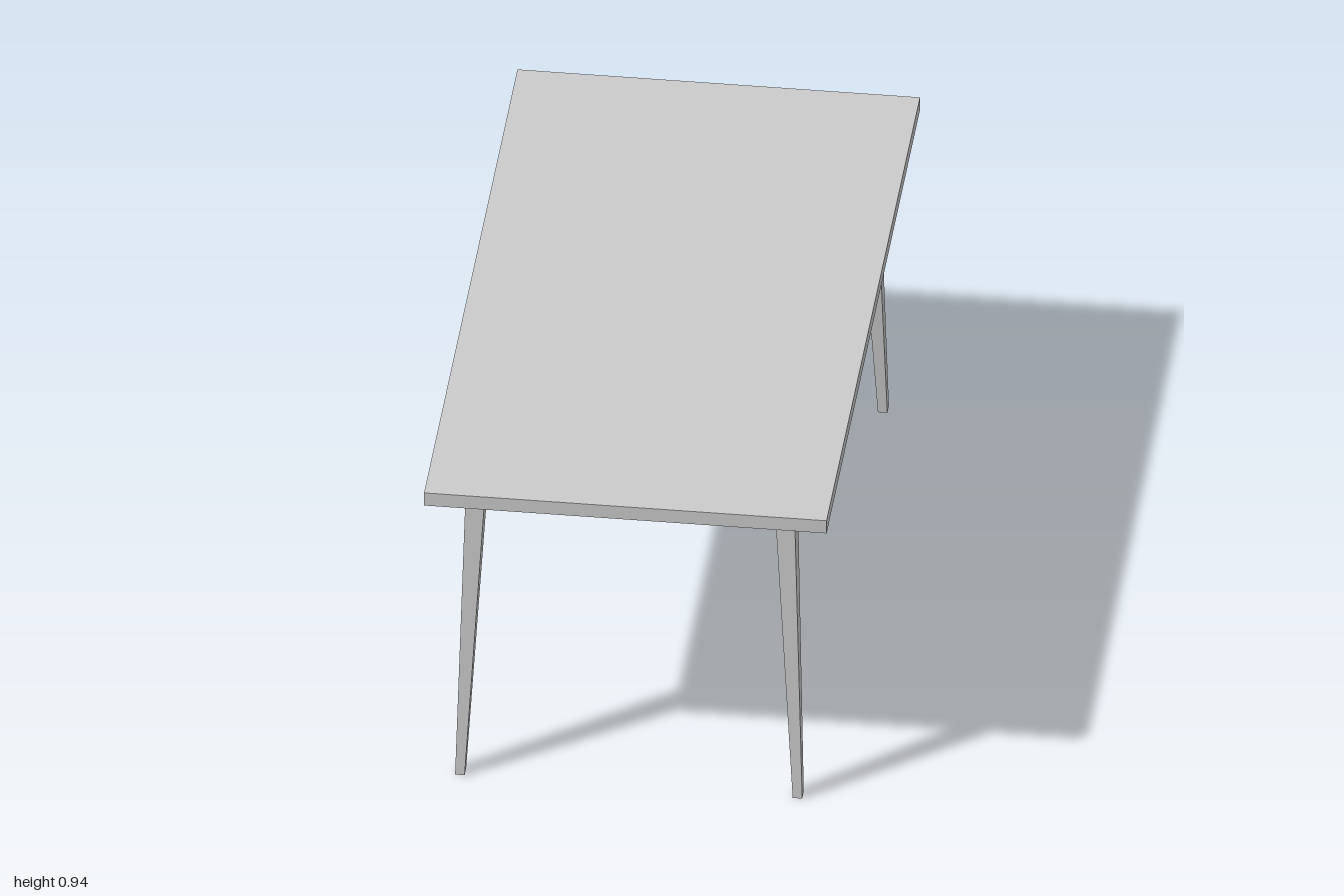
import * as THREE from 'three';

const TOP_Y = 0.936;
const LEG_H = 0.896;

// Splayed, tapered leg: each box corner is moved to its inner/outer limit at that height
function legGeometry(sx, sz) {
  const geo = new THREE.BoxGeometry(1, 1, 1);
  const p = geo.attributes.position;
  for (let i = 0; i < p.count; i++) {
    const atTop = p.getY(i) > 0;
    const [cx, cz, w, d] = atTop ? [0.409, 0.86, 0.052, 0.071] : [0.447, 0.911, 0.025, 0.034];
    p.setXYZ(i, sx * cx + p.getX(i) * w, atTop ? LEG_H : 0, sz * cz + p.getZ(i) * d);
  }
  geo.computeVertexNormals();
  return geo;
}

export function createModel() {
  const group = new THREE.Group();
  group.name = 'table';
  const material = new THREE.MeshStandardMaterial({ color: 0xcccccc, flatShading: true });

  // Flat rectangular top
  const top = new THREE.Mesh(new THREE.BoxGeometry(1.066, TOP_Y - LEG_H, 2), material);
  top.name = 'tableTop';
  top.position.y = (TOP_Y + LEG_H) / 2;
  group.add(top);

  // Four legs, one near each corner
  for (const sx of [1, -1]) {
    for (const sz of [1, -1]) {
      const leg = new THREE.Mesh(legGeometry(sx, sz), material);
      leg.name = (sz > 0 ? 'front' : 'back') + (sx > 0 ? 'Left' : 'Right') + 'Leg';
      group.add(leg);
    }
  }
  return group;
}
